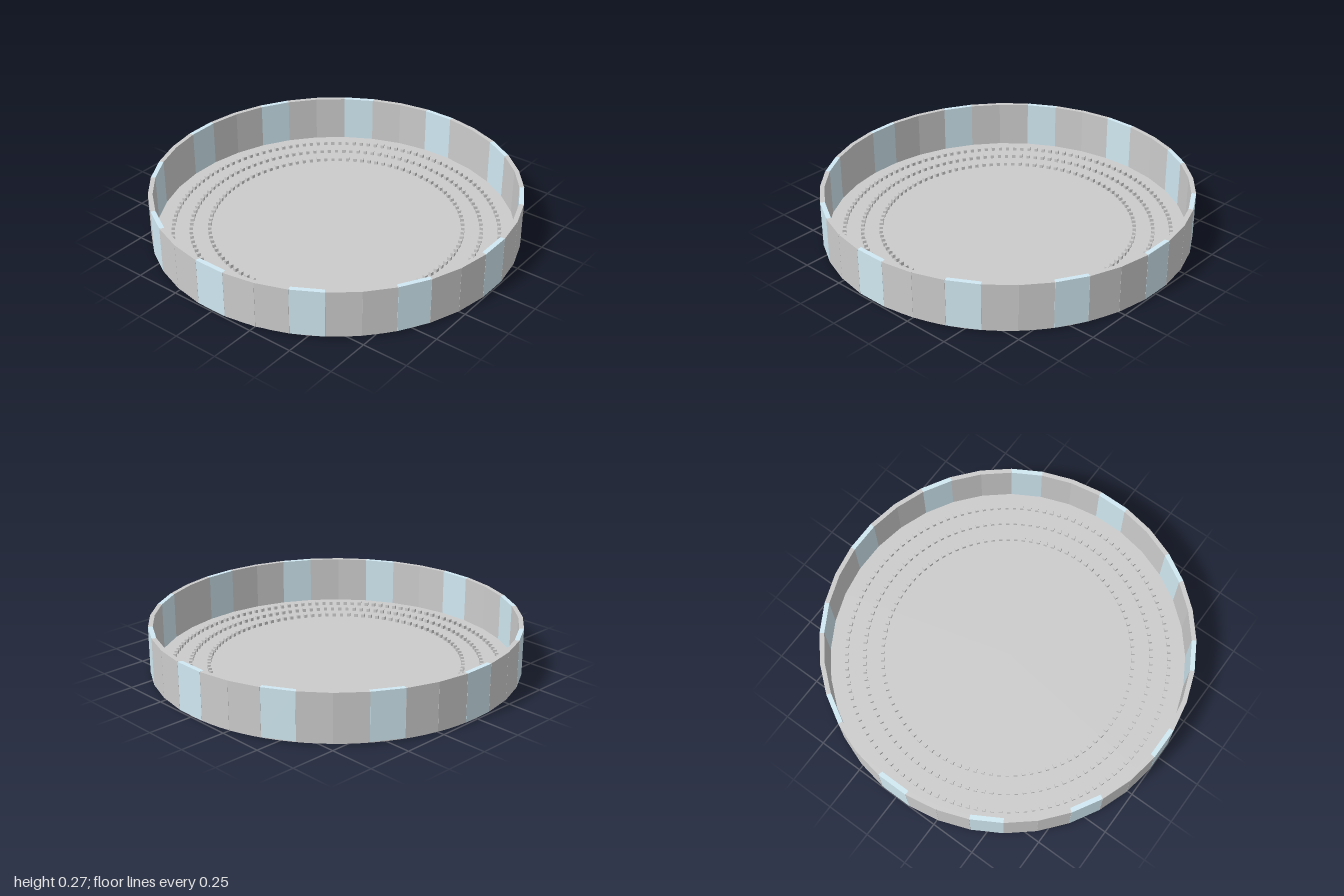
import * as THREE from 'three';

export function createModel() {
  const model = new THREE.Group();
  const grey = new THREE.MeshStandardMaterial({ color: 0xcccccc, flatShading: true });
  const glass = new THREE.MeshStandardMaterial({ color: 0xd0e8f2, flatShading: true });
  const floorTop = 0.01, wallTop = 0.27, thickness = 0.025;

  // Place copies of one geometry evenly around a circle, facing outwards
  function ring(name, count, radius, y, geometry, materialAt) {
    const group = new THREE.Group();
    group.name = name;
    for (let i = 0; i < count; i++) {
      const a = (i / count) * Math.PI * 2;
      const mesh = new THREE.Mesh(geometry, materialAt(i));
      mesh.name = name + 'Piece';
      mesh.position.set(Math.sin(a) * radius, y, Math.cos(a) * radius);
      mesh.rotation.y = a;
      group.add(mesh);
    }
    model.add(group);
  }

  // Thin round floor
  const floor = new THREE.Mesh(
    new THREE.CylinderGeometry(0.99, 0.99, floorTop, 96),
    new THREE.MeshStandardMaterial({ color: 0xcccccc }));
  floor.name = 'floor';
  floor.position.y = floorTop / 2;
  model.add(floor);

  // Outer wall of 36 flat panels, every third one a window
  const height = wallTop - floorTop;
  ring('wallPanels', 36, 1 - thickness / 2, floorTop + height / 2,
    new THREE.BoxGeometry(0.174, height, thickness),
    (i) => (i % 3 === 0 ? glass : grey));

  // Three concentric rows of small seats
  const size = 0.019;
  const seat = new THREE.BoxGeometry(size, size, size);
  [[0.69, 100], [0.79, 114], [0.888, 128]].forEach(([radius, count], row) =>
    ring('seatRow' + (row + 1), count, radius, floorTop + size / 2, seat, () => grey));

  return model;
}
